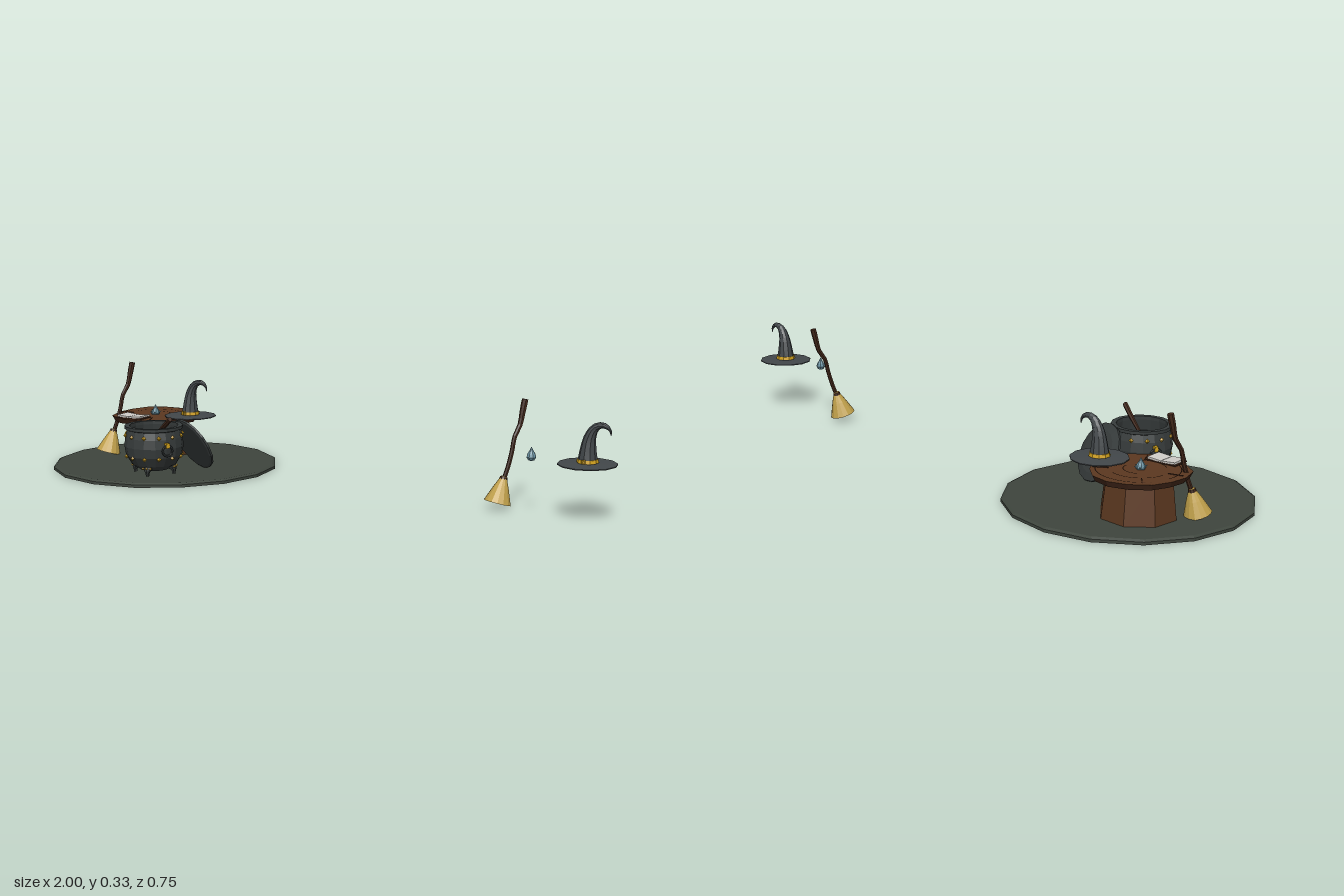
import * as THREE from 'three';

const mat = (name, color, side = THREE.FrontSide) => {
  const m = new THREE.MeshStandardMaterial({ color, side });
  m.name = name;
  return m;
};
const V = (x, y, z) => new THREE.Vector3(x, y, z);
const UP = V(0, 1, 0);

// faceted normals
const flat = (geo) => {
  const g = geo.index ? geo.toNonIndexed() : geo;
  g.computeVertexNormals();
  return g;
};
const lathe = (pts, sides) => new THREE.LatheGeometry(pts.map(([x, y]) => new THREE.Vector2(x, y)), sides);

// tube whose radius follows a list; a radius of 0 closes the end flat
function taperTube(pts, radii, sides, seg = 10) {
  const curve = new THREE.CatmullRomCurve3(pts.map((p) => V(...p)));
  const geo = new THREE.TubeGeometry(curve, seg, 1, sides);
  const pos = geo.attributes.position;
  const p = V();
  for (let i = 0; i <= seg; i++) {
    const t = (i / seg) * (radii.length - 1);
    const a = Math.min(Math.floor(t), radii.length - 2);
    const closed = i === seg && radii[radii.length - 1] === 0;
    const r = closed ? 0 : THREE.MathUtils.lerp(radii[a], radii[a + 1] || radii[a], t - a);
    const c = curve.getPointAt(i / seg);
    const target = closed ? curve.getPointAt((i - 1) / seg) : c;
    for (let j = 0; j <= sides; j++) {
      const k = i * (sides + 1) + j;
      p.fromBufferAttribute(pos, k).sub(c).multiplyScalar(r).add(target);
      pos.setXYZ(k, p.x, p.y, p.z);
    }
  }
  return geo;
}

export function createModel() {
  const M = {
    ground: mat('mossy stone', 0x3e453d),
    iron: mat('dark iron', 0x373c3c),
    felt: mat('grey felt', 0x42474a),
    gold: mat('gold', 0xd2a21c),
    wood: mat('brown wood', 0x5c3820),
    bark: mat('dark wood', 0x43281a),
    straw: mat('straw', 0xc0a04a),
    water: mat('pale blue', 0x6a92a2),
    paper: mat('paper', 0xd0cdc8),
  };
  const root = new THREE.Group();
  root.name = 'witchScene';
  const group = (name, x = 0, y = 0, z = 0, parent = root) => {
    const g = new THREE.Group();
    g.name = name;
    g.position.set(x, y, z);
    parent.add(g);
    return g;
  };
  const add = (parent, name, geo, material, x = 0, y = 0, z = 0) => {
    const m = new THREE.Mesh(flat(geo), material);
    m.name = name;
    m.position.set(x, y, z);
    parent.add(m);
    return m;
  };

  // round ground slab with a chamfered top edge
  add(root, 'groundSlab', lathe([[0, 0], [0.377, 0], [0.377, 0.009], [0.368, 0.014], [0, 0.014]], 16), M.ground, -0.623, 0, 0);

  // tree-stump table
  const table = group('stumpTable', -0.745, 0, -0.108);
  const stump = new THREE.CylinderGeometry(0.102, 0.116, 0.122, 8);
  stump.rotateY(0.3);
  add(table, 'stump', stump, M.wood, 0, 0.075, 0);
  const slab = new THREE.CylinderGeometry(0.147, 0.138, 0.018, 14);
  const sp = slab.attributes.position;
  for (let i = 0; i < sp.count; i++) {
    const a = Math.atan2(sp.getZ(i), sp.getX(i));
    const k = 1 + 0.025 * Math.sin(3 * a + 1) + 0.02 * Math.cos(5 * a);
    sp.setXYZ(i, sp.getX(i) * k, sp.getY(i) + 0.002 * Math.sin(2 * a) * Math.hypot(sp.getX(i), sp.getZ(i)) / 0.147, sp.getZ(i) * k);
  }
  const bark = add(table, 'tableTop', slab, [M.bark, M.wood, M.bark], 0, 0.14, 0);
  bark.geometry.clearGroups();
  slab.groups.forEach((g) => bark.geometry.addGroup(g.start, g.count, g.materialIndex));
  // growth rings and cracks
  [[0.125, 0.3, 2.2], [0.118, 3, 1.8], [0.085, 1.2, 1.9], [0.078, 4, 1.6], [0.045, 0, 2.4]].forEach(([r, start, len]) => {
    const ring = new THREE.RingGeometry(r, r + 0.003, 14, 1, start, len);
    ring.rotateX(-Math.PI / 2);
    add(table, 'growthRing', ring, M.bark, 0, 0.1515, 0);
  });
  [0.6, 2.3, 3.4, 5.2].forEach((a) => {
    const crack = new THREE.BoxGeometry(0.045, 0.002, 0.003);
    crack.translate(0.11, 0, 0);
    crack.rotateY(a);
    add(table, 'crack', crack, M.bark, 0, 0.1505, 0);
  });

  // open book lying on the table
  const book = group('openBook', -0.757, 0.152, 0.003);
  book.rotation.y = 0.06;
  add(book, 'bookCover', new THREE.BoxGeometry(0.1, 0.003, 0.062), M.bark, 0, 0.0005, 0);
  [-1, 1].forEach((s) => {
    const page = add(book, 'pages', new THREE.BoxGeometry(0.046, 0.006, 0.058), M.paper, s * 0.024, 0.005, 0);
    page.rotation.z = s * 0.08;
  });

  // water drops: one free, one splashing on the table
  const drop = () => lathe([[0, 0], [0.01, 0.003], [0.015, 0.012], [0.012, 0.022], [0.005, 0.033], [0, 0.044]], 8);
  add(root, 'waterDrop', drop(), M.water, 0.735, 0.158, -0.002);
  const splash = group('waterSplash', -0.745, 0.149, -0.102);
  add(splash, 'splashDrop', drop(), M.water, 0, -0.008, 0);
  for (let i = 0; i < 6; i++) {
    const a = (i * Math.PI) / 3;
    const spike = add(splash, 'splashSpike', new THREE.ConeGeometry(0.006, 0.02, 5), M.water, Math.cos(a) * 0.013, 0.006, Math.sin(a) * 0.013);
    spike.quaternion.setFromUnitVectors(UP, V(Math.cos(a), 0.55, Math.sin(a)).normalize());
  }

  // cauldron
  const pot = group('cauldron', -0.52, 0, 0.192);
  pot.rotation.y = -0.47;
  add(pot, 'potBody', lathe([[0, 0.03], [0.045, 0.032], [0.073, 0.05], [0.091, 0.08], [0.096, 0.11], [0.093, 0.14],
    [0.087, 0.163], [0.095, 0.166], [0.095, 0.176], [0.079, 0.176], [0.079, 0.165], [0.084, 0.13], [0, 0.13]], 16), M.iron);
  [[0.146, 0.093], [0.077, 0.09]].forEach(([y, r]) => {
    for (let i = 0; i < 12; i++) {
      const a = ((i + 0.5) * Math.PI) / 6;
      const stud = add(pot, 'stud', new THREE.OctahedronGeometry(0.0075), M.gold, Math.cos(a) * r, y, Math.sin(a) * r);
      stud.rotation.y = -a;
    }
  });
  for (let i = 0; i < 4; i++) {
    const a = Math.PI / 4 + (i * Math.PI) / 2;
    const c = Math.cos(a), s = Math.sin(a);
    const at = (r, y) => [c * r, y, s * r];
    add(pot, 'potLeg', taperTube([at(0.054, 0.052), at(0.066, 0.034), at(0.064, 0.012)], [0.017, 0.013, 0.006, 0], 7, 6), M.iron);
    for (let j = -1; j <= 1; j++) {
      const b = a + j * 0.17;
      add(pot, 'legStud', new THREE.OctahedronGeometry(0.005), M.gold, Math.cos(b) * 0.073, 0.044, Math.sin(b) * 0.073);
    }
  }
  [-1, 1].forEach((s) => {
    const ring = add(pot, 'ringHandle', new THREE.TorusGeometry(0.017, 0.0038, 6, 12), M.iron, s * 0.102, 0.106, 0);
    ring.rotation.y = Math.PI / 2;
    add(pot, 'handleBracket', new THREE.BoxGeometry(0.016, 0.016, 0.011), M.gold, s * 0.1, 0.123, 0);
  });

  // stirring spoon
  add(root, 'spoonHandle', taperTube([[-0.54, 0.128, 0.18], [-0.47, 0.172, 0.212], [-0.402, 0.222, 0.243]], [0.005, 0.006, 0.008, 0], 6, 8), M.bark);
  add(root, 'spoonBowl', new THREE.SphereGeometry(0.013, 8, 5), M.bark, -0.54, 0.13, 0.18);

  // lid leaning on the cauldron
  const lid = group('lid', -0.46, 0.1, 0.062);
  lid.quaternion.setFromUnitVectors(UP, V(0.3, 0.47, -0.83).normalize());
  add(lid, 'lidPlate', lathe([[0, -0.007], [0.088, -0.007], [0.095, -0.004], [0.095, 0.003], [0.07, 0.009], [0, 0.013]], 16), M.iron);
  add(lid, 'lidKnob', new THREE.IcosahedronGeometry(0.009), M.gold, 0, 0.021, 0);
  for (let i = 0; i < 6; i++) {
    const a = (i * Math.PI) / 3;
    const petal = add(lid, 'knobPetal', new THREE.BoxGeometry(0.012, 0.005, 0.006), M.gold, Math.cos(a) * 0.011, 0.014, Math.sin(a) * 0.011);
    petal.rotation.y = -a;
  }

  // pointed hats with a curled tip
  const hat = (x, y, z, tilt) => {
    const g = group('witchHat', x, y, z);
    g.rotation.x = tilt;
    add(g, 'brim', lathe([[0, -0.002], [0.06, -0.003], [0.088, -0.001], [0.088, 0.002], [0.05, 0.004], [0, 0.006]], 12), M.felt);
    add(g, 'crown', taperTube([[0, 0, 0], [0.001, 0.04, 0], [0.006, 0.08, 0], [0.022, 0.11, 0], [0.046, 0.119, 0], [0.067, 0.108, 0], [0.071, 0.09, 0]],
      [0.031, 0.026, 0.021, 0.016, 0.011, 0.007, 0.001], 10, 14), M.felt);
    add(g, 'hatBand', lathe([[0.028, 0.006], [0.0325, 0.006], [0.0305, 0.016], [0.024, 0.016]], 10), M.gold);
    const buckle = add(g, 'hatBuckle', new THREE.TorusGeometry(0.007, 0.002, 4, 4, Math.PI * 2), M.gold, 0, 0.012, 0.031);
    buckle.rotation.z = Math.PI / 4;
  };
  hat(-0.603, 0.155, -0.113, 0);
  hat(0.908, 0.165, -0.014, 0.02);

  // crooked brooms
  const broom = (x) => {
    const g = group('broom', x, 0, 0);
    add(g, 'broomHandle', taperTube([[0.008, 0.085, -0.017], [0.018, 0.13, -0.029], [0.024, 0.175, -0.04], [0.027, 0.215, -0.049],
      [0.034, 0.25, -0.07], [0.037, 0.29, -0.08], [0.043, 0.345, -0.091]], [0.007, 0.007, 0.007, 0.007, 0.008, 0.01, 0], 7, 14), M.bark);
    const head = lathe([[0, 0.022], [0.042, 0.001], [0.035, 0.022], [0.024, 0.05], [0.013, 0.075], [0.009, 0.085], [0, 0.087]], 14);
    const p = head.attributes.position;
    for (let i = 0; i < p.count; i++) {
      const a = Math.atan2(p.getZ(i), p.getX(i));
      const k = 1 + 0.08 * Math.cos(7 * a);
      const lift = p.getY(i) < 0.01 ? 0.006 * (1 - Math.cos(7 * a)) * 0.5 : 0;
      p.setXYZ(i, p.getX(i) * k, p.getY(i) + lift, p.getZ(i) * k);
    }
    const bristles = add(g, 'bristles', head, M.straw, -0.003, 0.016, 0);
    bristles.quaternion.setFromUnitVectors(UP, V(0.012, 0.082, -0.019).normalize());
    const tie = add(g, 'broomTie', new THREE.CylinderGeometry(0.011, 0.013, 0.009, 9), M.bark, 0.008, 0.093, -0.018);
    tie.quaternion.copy(bristles.quaternion);
  };
  broom(-0.873);
  broom(0.63);

  return root;
}
